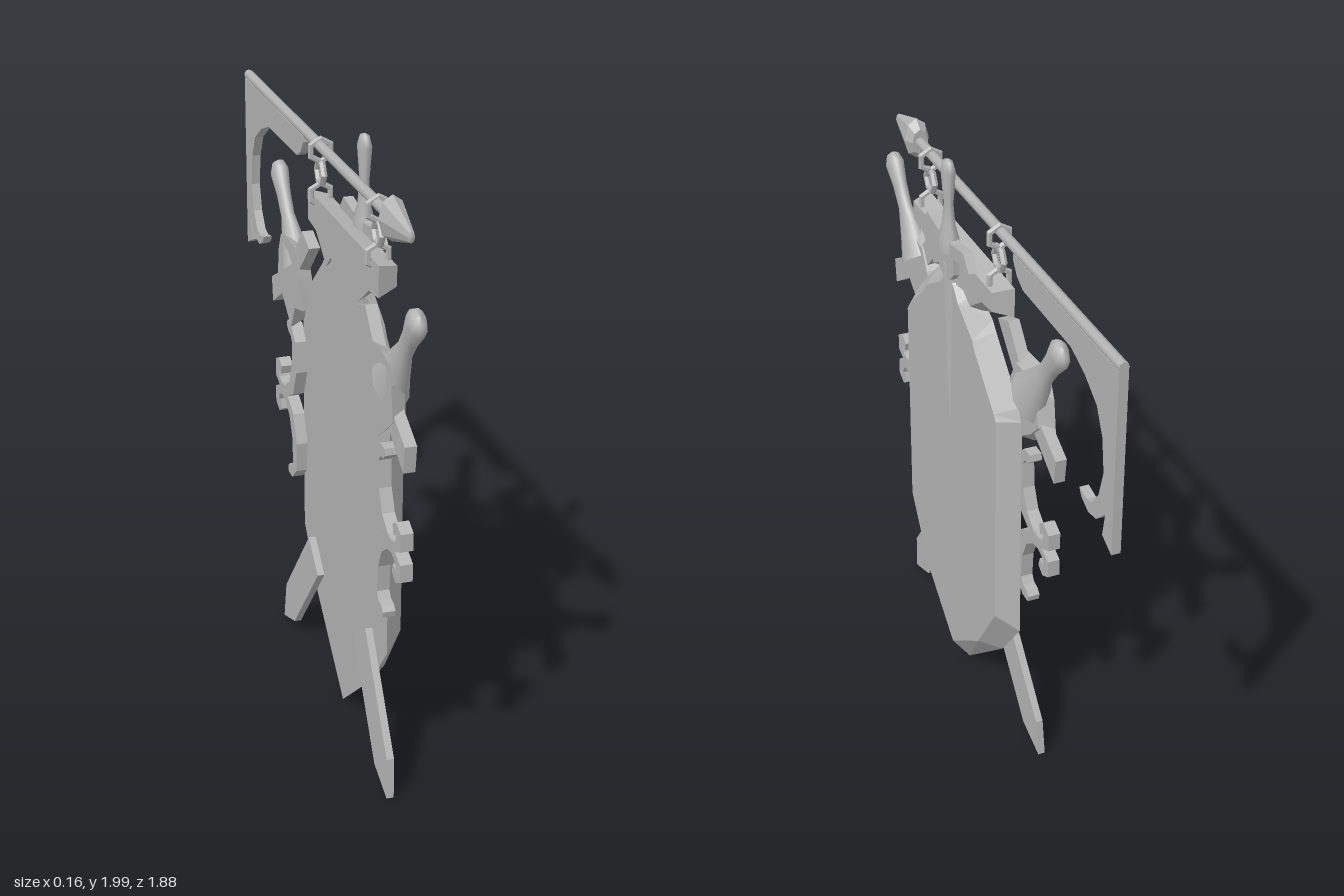
import * as THREE from 'three';

const grey = new THREE.MeshStandardMaterial({ color: 0xb4b4b4 });
grey.name = 'grey metal';

const vec = (pts) => pts.map(([x, y]) => new THREE.Vector2(x, y));

// Full counter-clockwise outline from a right half listed top to bottom
function mirrored(half) {
  const right = [...half].reverse();
  const left = half.filter(([x]) => x !== 0).map(([x, y]) => [-x, y]);
  return [...right, ...left];
}

function add(parent, name, geometry, x = 0, y = 0, z = 0) {
  const mesh = new THREE.Mesh(geometry, grey);
  mesh.name = name;
  mesh.position.set(x, y, z);
  parent.add(mesh);
  return mesh;
}

// Flat plate between two depths
function plate(pts, back, front) {
  const g = new THREE.ExtrudeGeometry(new THREE.Shape(vec(pts)), { depth: front - back, bevelEnabled: false });
  return g.translate(0, 0, back);
}

// Board whose sides slope from a back outline to a smaller front outline
function slopedBoard(outer, inner, back, front) {
  const pos = [];
  const b = (i) => [...outer[i], back];
  const f = (i) => [...inner[i], front];
  const n = outer.length;
  for (let i = 0; i < n; i++) {
    const j = (i + 1) % n;
    pos.push(...b(i), ...b(j), ...f(j), ...b(i), ...f(j), ...f(i));
  }
  for (const [p, q, r] of THREE.ShapeUtils.triangulateShape(vec(inner), [])) pos.push(...f(p), ...f(q), ...f(r));
  for (const [p, q, r] of THREE.ShapeUtils.triangulateShape(vec(outer), [])) pos.push(...b(r), ...b(q), ...b(p));
  const g = new THREE.BufferGeometry();
  g.setAttribute('position', new THREE.Float32BufferAttribute(pos, 3));
  g.computeVertexNormals();
  return g;
}

function faceted(geometry) {
  const g = geometry.toNonIndexed();
  g.computeVertexNormals();
  return g;
}

// Pole, spear head, bracket and chains
function addHanger(sign) {
  add(sign, 'pole', new THREE.CylinderGeometry(0.017, 0.017, 1.53, 8).rotateZ(Math.PI / 2), 0.187, 1.88, -0.012);
  const head = new THREE.LatheGeometry(vec([[0, 0], [0.045, 0], [0.07, 0.035], [0.018, 0.2], [0, 0.205]]), 8);
  add(sign, 'spearHead', faceted(head.scale(1, 1, 0.6).rotateZ(Math.PI / 2)), -0.575, 1.88, -0.012);

  add(sign, 'bracket', plate([
    [0.23, 1.87], [0.23, 1.85], [0.26, 1.81], [0.305, 1.785], [0.645, 1.78], [0.74, 1.745], [0.825, 1.69],
    [0.867, 1.61], [0.883, 1.5], [0.857, 1.41], [0.815, 1.355], [0.78, 1.345], [0.73, 1.355], [0.745, 1.33],
    [0.793, 1.307], [0.846, 1.317], [0.904, 1.37], [0.889, 1.29], [0.952, 1.26], [0.952, 1.87],
  ], -0.027, 0.003));

  for (const u of [-0.475, 0.1]) {
    [1.862, 1.79, 1.718].forEach((v, i) => {
      const link = new THREE.TorusGeometry(0.037, 0.011, 6, 6);
      if (i !== 1) link.rotateZ(Math.PI / 6).rotateY(Math.PI / 2);
      add(sign, 'chainLink', faceted(link), u, v, -0.008);
    });
  }
}

// Shield and the board it hangs from
function addShield(sign) {
  add(sign, 'shield', slopedBoard(
    mirrored([[0, 1.59], [0.04, 1.62], [0.1, 1.57], [0.21, 1.53], [0.24, 1.5], [0.43, 1.33], [0.45, 1.29],
      [0.45, 0.46], [0.3, 0.27], [0, 0.01]]),
    mirrored([[0, 1.53], [0.035, 1.58], [0.08, 1.53], [0.2, 1.46], [0.22, 1.43], [0.375, 1.29], [0.39, 1.27],
      [0.39, 0.5], [0.24, 0.28], [0, 0.1]]), -0.02, 0.045));
  add(sign, 'hangingBoard', slopedBoard(
    mirrored([[0, 1.715], [0.36, 1.715], [0.36, 1.615], [0.27, 1.605], [0.16, 1.525], [0.11, 1.57], [0, 1.55]]),
    mirrored([[0, 1.7], [0.335, 1.7], [0.335, 1.635], [0.25, 1.625], [0.155, 1.56], [0.1, 1.59], [0, 1.57]]),
    -0.03, 0.035));
}

// Sword on the front of the shield
function addFrontSword(sign) {
  const grip = new THREE.LatheGeometry(vec([[0.05, 1.69], [0.048, 1.73], [0.03, 1.78], [0.022, 1.85],
    [0.034, 1.96], [0.022, 1.992], [0, 2]]), 10);
  add(sign, 'frontSwordGrip', grip.scale(1, 1, 0.65), 0, 0, 0.042);
  add(sign, 'frontSwordGuard', plate(mirrored([[0, 1.74], [0.06, 1.735], [0.155, 1.75], [0.2, 1.7], [0.07, 1.69],
    [0.07, 1.63], [0.04, 1.6], [0, 1.58]]), 0.025, 0.056));
  const blade = new THREE.CylinderGeometry(0.038, 0.004, 0.58, 4).scale(1, 1, 0.4);
  add(sign, 'frontSwordBlade', faceted(blade), 0, 1.35, 0.046);
}

// Hilt and blade end of one crossed sword
function addCrossedSword(sign, side) {
  const hilt = new THREE.Group();
  hilt.name = 'crossedSwordHilt';
  hilt.position.set(side * 0.478, 1.397, -0.035);
  hilt.rotation.z = -side * 0.666;
  sign.add(hilt);
  const grip = new THREE.LatheGeometry(vec([[0.09, 0], [0.065, 0.08], [0.036, 0.19], [0.038, 0.27],
    [0.05, 0.345], [0.033, 0.375], [0, 0.385]]), 10);
  add(hilt, 'grip', grip.scale(1, 1, 0.6), 0, 0, 0.005);
  add(hilt, 'guard', plate(mirrored([[0, 0.03], [0.1, 0.03], [0.235, 0.055], [0.28, -0.02], [0.1, -0.04], [0, -0.04]]),
    -0.025, 0.012));
  add(hilt, 'collar', slopedBoard(
    mirrored([[0, 0.13], [0.06, 0.1], [0.14, 0.025], [0.12, -0.06], [0.09, -0.17], [0, -0.13]]),
    mirrored([[0, 0.11], [0.04, 0.08], [0.11, 0.02], [0.1, -0.06], [0.07, -0.15], [0, -0.11]]), -0.03, 0.018));

  const blade = add(sign, 'crossedSwordBlade',
    plate(mirrored([[0, 0.53], [0.072, 0.53], [0.072, 0.115], [0, 0]]), -0.012, 0.012), side * -0.583, 0.015, -0.048);
  blade.rotation.z = -side * 0.666;
  blade.rotation.x = 0.03;
}

// Curled ornament on one side of the shield
function addScroll(sign, side) {
  const upper = [[0.52, 1.185], [0.504, 1.17], [0.477, 1.165], [0.46, 1.143], [0.467, 1.053], [0.499, 0.984],
    [0.552, 0.947], [0.589, 0.942], [0.62, 0.952], [0.631, 0.979], [0.605, 0.968], [0.594, 1.0], [0.626, 1.021],
    [0.668, 1.0], [0.668, 0.942], [0.62, 0.92], [0.52, 0.92], [0.451, 0.958], [0.41, 1.053], [0.42, 1.16],
    [0.472, 1.206], [0.515, 1.206]];
  for (const flip of [1, -1]) {
    const pts = upper.map(([x, y]) => [x * side, 0.92 + flip * (y - 0.92)]);
    add(sign, 'scroll', plate(pts, -0.058, -0.018));
  }
}

export function createModel() {
  const model = new THREE.Group();
  model.name = 'hangingShieldSign';

  // Drawn in the x-y plane, then turned so the shield faces +x
  const hanger = new THREE.Group();
  hanger.name = 'hanger';
  hanger.rotation.y = Math.PI / 2;
  addHanger(hanger);

  const sign = new THREE.Group();
  sign.name = 'sign';
  sign.rotation.y = Math.PI / 2;
  sign.position.z = 0.19;
  addShield(sign);
  addFrontSword(sign);
  for (const side of [1, -1]) {
    addCrossedSword(sign, side);
    addScroll(sign, side);
  }

  model.add(hanger, sign);
  return model;
}
